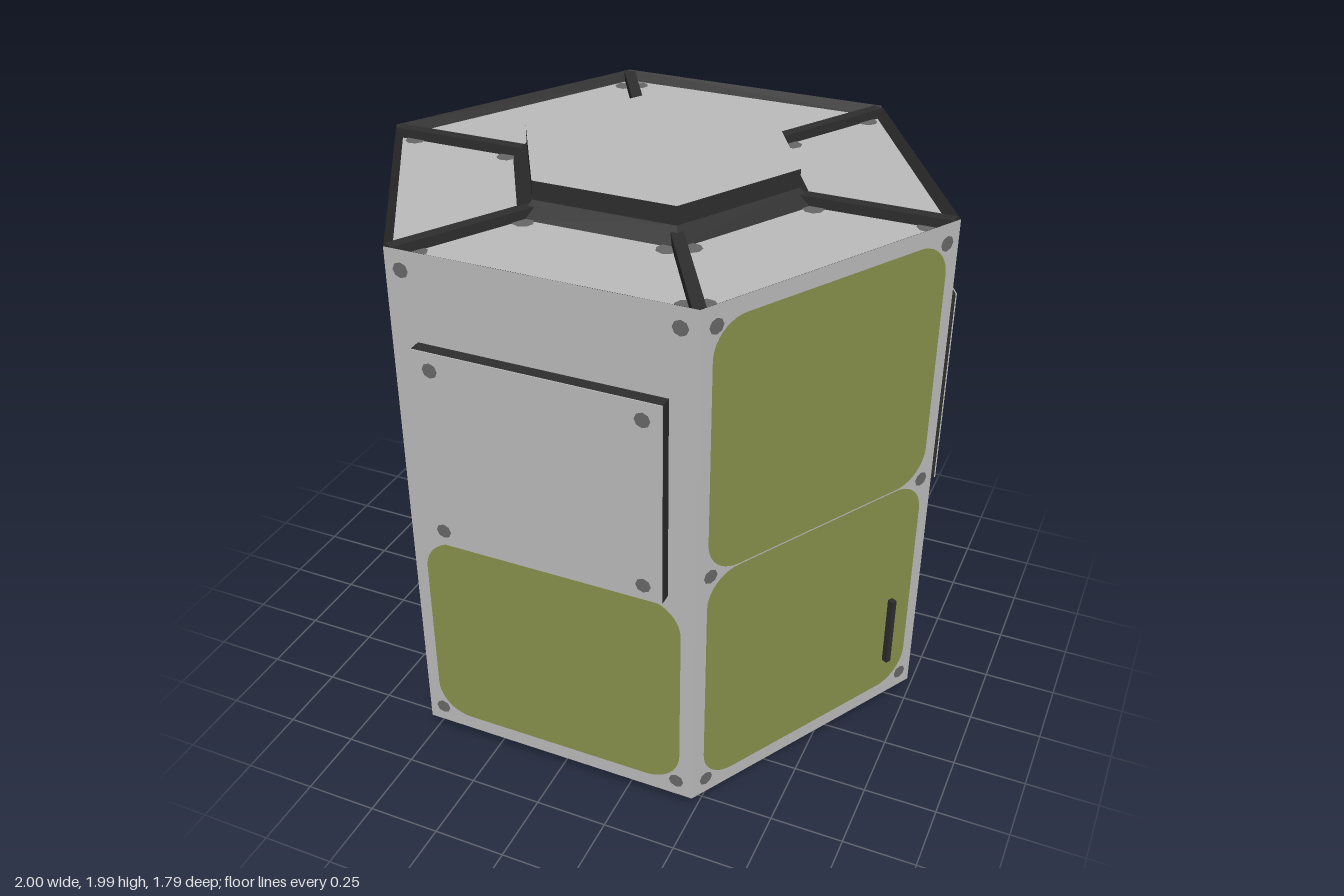
import * as THREE from 'three';

const mat = (name, color, extra = {}) => {
  const m = new THREE.MeshStandardMaterial({ color, ...extra });
  m.name = name;
  return m;
};

export function createModel() {
  const grey = mat('light grey', 0xbcbcbc, { flatShading: true });
  const green = mat('olive green', 0x88924c);
  const dark = mat('charcoal', 0x2e2e2e, { flatShading: true, side: THREE.DoubleSide });
  const boltGrey = mat('bolt grey', 0x686868);

  const model = new THREE.Group();
  model.name = 'hexagonalContainer';
  const hull = new THREE.Group();
  hull.name = 'hull';
  hull.position.z = -0.022;
  model.add(hull);

  const BOTTOM = 0.08, TOP = 1.915, MID = 0.9975;
  const APOTHEM = Math.sqrt(3) / 2;

  const add = (parent, name, geometry, material, x = 0, y = 0, z = 0) => {
    const mesh = new THREE.Mesh(geometry, material);
    mesh.name = name;
    mesh.position.set(x, y, z);
    parent.add(mesh);
    return mesh;
  };
  // Six-sided tube with its corners on the x axis
  const hexTube = (rTop, rBottom, h) =>
    new THREE.CylinderGeometry(rTop, rBottom, h, 6, 1, true, Math.PI / 6);
  // Flat hexagon facing up
  const hexPlate = r => new THREE.CircleGeometry(r, 6).rotateX(-Math.PI / 2);

  // Rounded rectangle centred on x, from y0 to y1
  const roundedPanel = (w, y0, y1, r) => {
    const s = new THREE.Shape();
    s.absarc(w - r, y0 + r, r, -Math.PI / 2, 0);
    s.absarc(w - r, y1 - r, r, 0, Math.PI / 2);
    s.absarc(-w + r, y1 - r, r, Math.PI / 2, Math.PI);
    s.absarc(-w + r, y0 + r, r, Math.PI, Math.PI * 1.5);
    return new THREE.ShapeGeometry(s, 5);
  };
  const lowerPanel = roundedPanel(0.455, 0.135, 0.88, 0.12);
  const tallLower = roundedPanel(0.455, 0.135, 0.985, 0.12);
  const tallUpper = roundedPanel(0.455, 0.99, 1.86, 0.12);
  const boltGeo = new THREE.CircleGeometry(0.026, 8);

  // Side walls
  add(hull, 'walls', hexTube(1, 1, TOP - BOTTOM), grey, 0, (TOP + BOTTOM) / 2);

  // Six sides: raised cover plates alternate with paired green panels
  const handleX = [0, 0.36, -0.36, 0, 0.36, -0.36];
  for (let k = 0; k < 6; k++) {
    const side = new THREE.Group();
    side.name = 'side' + (k + 1);
    side.rotation.y = k * Math.PI / 3;
    hull.add(side);
    const hasCover = k % 2 === 0;
    const z = APOTHEM + 0.003;

    if (hasCover) {
      add(side, 'lowerGreenPanel', lowerPanel, green, 0, 0, z);
      add(side, 'coverBody', new THREE.BoxGeometry(0.82, 0.705, 0.06), dark, 0, 1.2625, APOTHEM + 0.012);
      add(side, 'coverFace', new THREE.BoxGeometry(0.82, 0.705, 0.004), grey, 0, 1.2625, APOTHEM + 0.044);
    } else {
      add(side, 'lowerGreenPanel', tallLower, green, 0, 0, z);
      add(side, 'upperGreenPanel', tallUpper, green, 0, 0, z);
    }

    for (const sx of [-1, 1]) {
      for (const y of hasCover ? [0.145, 1.85] : [0.145, 0.99, 1.85])
        add(side, 'bolt', boltGeo, boltGrey, sx * 0.445, y, z + 0.002);
      if (hasCover)
        for (const y of [0.965, 1.555])
          add(side, 'coverBolt', boltGeo, boltGrey, sx * 0.348, y, APOTHEM + 0.048);
      // Twin label plates at the top of the rear side
      if (k === 3)
        add(side, 'rearPlate', new THREE.PlaneGeometry(0.285, 0.1), grey, sx * 0.147, 1.815, z + 0.003);
    }
    if (handleX[k])
      add(side, 'handle', new THREE.BoxGeometry(0.02, 0.27, 0.03), dark, handleX[k], 0.385, APOTHEM + 0.01);
  }

  // Matching ends: recessed floor, sloped rim, spokes and a raised hexagonal cap
  const discGeo = new THREE.CircleGeometry(0.035, 8).rotateX(-Math.PI / 2);
  const rimY = TOP - MID, floorY = rimY - 0.035, capY = MID - 0.002;
  for (const dir of [1, -1]) {
    const end = new THREE.Group();
    end.name = dir > 0 ? 'topEnd' : 'bottomEnd';
    end.position.y = MID;
    if (dir < 0) end.rotation.x = Math.PI;
    hull.add(end);

    add(end, 'floor', hexPlate(0.985), grey, 0, floorY);
    add(end, 'rim', hexTube(0.999, 0.975, 0.035), dark, 0, floorY + 0.0175);
    add(end, 'collar', hexTube(0.485, 0.54, 0.05), dark, 0, floorY + 0.025);
    add(end, 'capSides', hexTube(0.485, 0.485, capY - floorY), dark, 0, (capY + floorY) / 2);
    add(end, 'capFace', hexPlate(0.485), grey, 0, capY);

    for (let k = 0; k < 6; k++) {
      const sector = new THREE.Group();
      sector.name = 'sector' + (k + 1);
      sector.rotation.y = k * Math.PI / 3;
      end.add(sector);
      add(sector, 'spoke', new THREE.BoxGeometry(0.5, 0.04, 0.04), dark, 0.735, rimY - 0.021, 0);
      for (const sx of [-1, 1]) {
        add(sector, 'outerBolt', discGeo, boltGrey, sx * 0.43, floorY + 0.003, 0.8);
        add(sector, 'innerBolt', discGeo, boltGrey, sx * 0.24, floorY + 0.003, 0.49);
      }
    }
  }
  return model;
}
